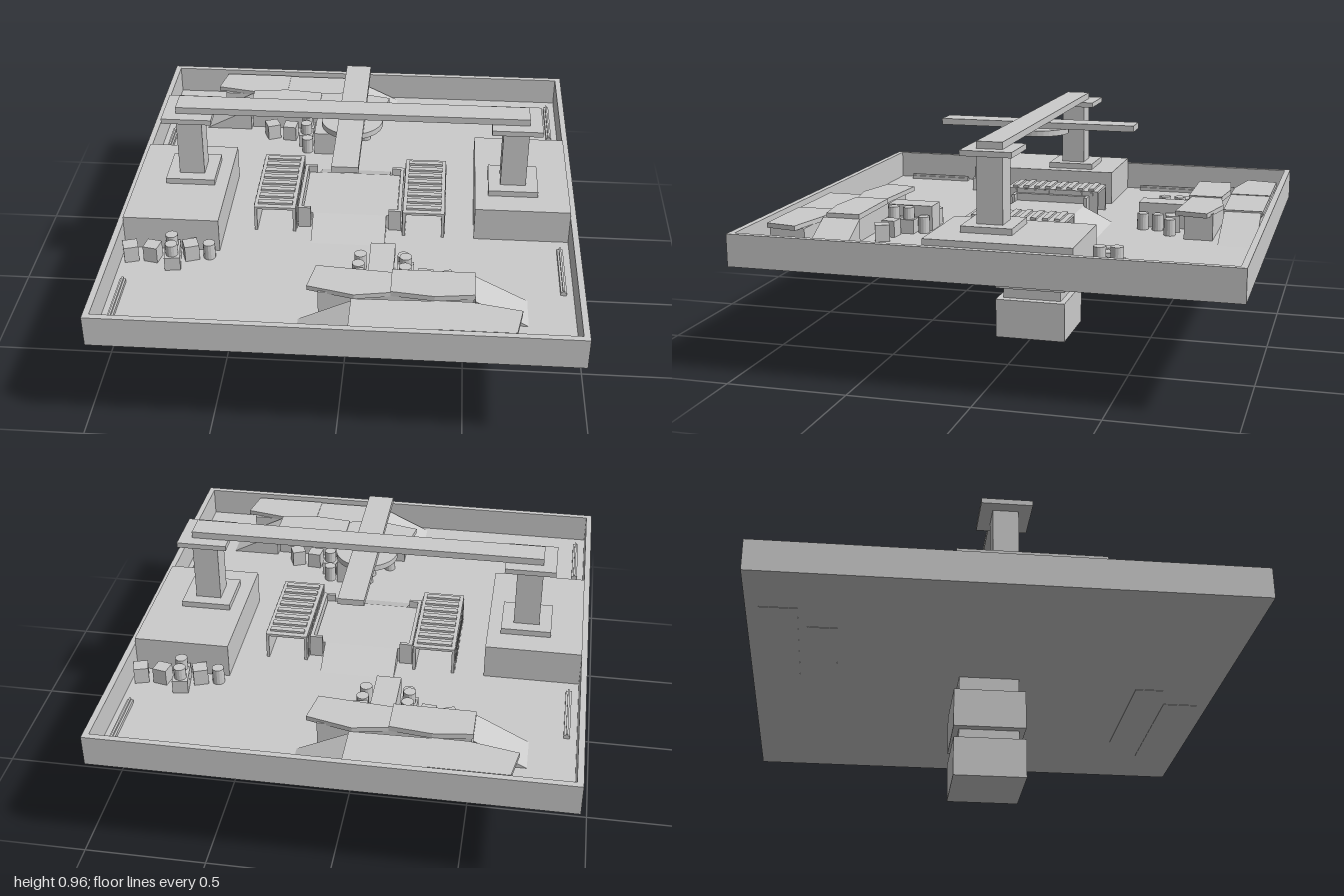
import * as THREE from 'three';

const FLOOR = 0.468;
const grey = new THREE.MeshStandardMaterial({ color: 0xcccccc, flatShading: true, side: THREE.DoubleSide });

function add(parent, name, geometry, x = 0, y = 0, z = 0, turn = 0) {
  const mesh = new THREE.Mesh(geometry, grey);
  mesh.name = name;
  mesh.position.set(x, y, z);
  mesh.rotation.y = turn;
  parent.add(mesh);
  return mesh;
}

// Box given by its limits on each axis
function box(parent, name, [x0, x1], [y0, y1], [z0, z1]) {
  return add(parent, name, new THREE.BoxGeometry(x1 - x0, y1 - y0, z1 - z0),
    (x0 + x1) / 2, (y0 + y1) / 2, (z0 + z1) / 2);
}

// Plate with an [x, z] outline between two heights
function plate(parent, name, outline, y0, y1) {
  const shape = new THREE.Shape(outline.map(([x, z]) => new THREE.Vector2(x, -z)));
  const g = new THREE.ExtrudeGeometry(shape, { depth: y1 - y0, bevelEnabled: false });
  g.rotateX(-Math.PI / 2);
  return add(parent, name, g, 0, y0, 0);
}

// Wedge falling along +x, from its high edge at the origin
function ramp(parent, name, length, height, width, x, z, turn) {
  const shape = new THREE.Shape([new THREE.Vector2(0, 0), new THREE.Vector2(length, 0), new THREE.Vector2(0, height)]);
  const g = new THREE.ExtrudeGeometry(shape, { depth: width, bevelEnabled: false });
  g.translate(0, 0, -width / 2);
  return add(parent, name, g, x, FLOOR, z, turn);
}

function crate(parent, x, z, turn, size = 0.06, h = 0.07, y = FLOOR) {
  add(parent, 'crate', new THREE.BoxGeometry(size, h, size), x, y + h / 2, z, turn);
}

function drum(parent, x, z, y = FLOOR, h = 0.07) {
  add(parent, 'drum', new THREE.CylinderGeometry(0.025, 0.025, h, 14), x, y + h / 2, z);
}

// Two crates side by side, each carrying a drum
function loadedCrates(parent, x, z, turn) {
  const g = new THREE.Group();
  g.name = 'loadedCrates';
  g.position.set(x, 0, z);
  g.rotation.y = turn;
  for (const s of [-1, 1]) {
    crate(g, 0, s * 0.033, 0, 0.064, 0.06);
    drum(g, 0, s * 0.033, FLOOR + 0.06, 0.05);
  }
  parent.add(g);
}

// Ribbed shed, open at both ends
function shed(parent) {
  const g = new THREE.Group();
  g.name = 'shed';
  for (const x of [0.225, 0.388]) box(g, 'shedWall', [x, x + 0.012], [FLOOR, 0.585], [-0.21, 0.21]);
  box(g, 'shedRoof', [0.225, 0.4], [0.574, 0.585], [-0.21, 0.21]);
  for (let i = 0; i < 8; i++) {
    const z = -0.175 + i * 0.05;
    box(g, 'roofRib', [0.24, 0.385], [0.585, 0.594], [z - 0.012, z + 0.012]);
    for (const x of [0.222, 0.4]) box(g, 'wallRib', [x, x + 0.003], [FLOOR, 0.58], [z - 0.012, z + 0.012]);
  }
  parent.add(g);
}

// Two offset raised walkways with ramps at opposite ends
function bunker(parent) {
  const g = new THREE.Group();
  g.name = 'bunker';
  box(g, 'rearBody', [-0.08, 0.52], [0.458, 0.58], [0.645, 0.765]);
  box(g, 'frontBody', [0.06, 0.67], [0.458, 0.56], [0.8, 0.95]);
  plate(g, 'rearDeckLeft', [[-0.1, 0.61], [0.2, 0.635], [0.2, 0.765], [0.06, 0.79], [-0.125, 0.745]], 0.572, 0.592);
  plate(g, 'rearDeckRight', [[0.2, 0.622], [0.525, 0.622], [0.525, 0.765], [0.37, 0.785], [0.2, 0.765]], 0.575, 0.597);
  plate(g, 'frontDeckLeft', [[0.05, 0.792], [0.37, 0.785], [0.37, 0.958], [0.05, 0.958]], 0.555, 0.575);
  plate(g, 'frontDeckRight', [[0.37, 0.785], [0.51, 0.785], [0.705, 0.825], [0.68, 0.958], [0.37, 0.958]], 0.558, 0.578);
  ramp(g, 'rearRamp', 0.21, 0.11, 0.16, 0.525, 0.7, 0);
  ramp(g, 'frontRamp', 0.205, 0.1, 0.155, 0.05, 0.873, Math.PI);
  parent.add(g);
}

// Everything that repeats after half a turn about the centre
function createHalf() {
  const half = new THREE.Group();
  half.name = 'arenaHalf';

  // corner platform and the pillar standing on it
  box(half, 'sidePlatform', [0.525, 0.92], [FLOOR, 0.616], [-0.37, 0.21]);
  box(half, 'pillarBase', [0.58, 0.788], [0.616, 0.641], [-0.103, 0.103]);
  box(half, 'pillar', [0.63, 0.737], [0.641, 0.91], [-0.052, 0.052]);
  box(half, 'pillarCap', [0.58, 0.788], [0.91, 0.932], [-0.103, 0.103]);

  shed(half);
  bunker(half);

  // low bars beside the outer wall
  for (const z of [-0.755, 0.43]) {
    box(half, 'wallBar', [0.868, 0.892], [FLOOR, FLOOR + 0.015], [z - 0.147, z + 0.147]);
    box(half, 'wallBarRidge', [0.876, 0.884], [FLOOR, FLOOR + 0.024], [z - 0.147, z + 0.147]);
  }

  // stores behind the corner platform
  crate(half, 0.88, -0.445, 0.3);
  crate(half, 0.79, -0.44, -0.2);
  loadedCrates(half, 0.705, -0.455, 0.15);
  crate(half, 0.635, -0.42, 0.35);
  drum(half, 0.56, -0.415);

  // stores beside the bunker
  box(half, 'largeCrate', [0.105, 0.205], [FLOOR, 0.575], [0.42, 0.62]);
  drum(half, 0.065, 0.445);
  drum(half, 0.06, 0.51);
  crate(half, 0.06, 0.575, 0.2);
  drum(half, -0.02, 0.575);
  drum(half, 0.24, 0.445);
  loadedCrates(half, 0.25, 0.542, 0);
  crate(half, 0.33, 0.56, -0.1);
  crate(half, 0.415, 0.567, 0.4);

  // ramp up to the central platform, with the side rail
  ramp(half, 'centreRamp', 0.13, 0.065, 0.31, 0, 0.16, -Math.PI / 2);
  box(half, 'sideRail', [0.203, 0.218], [FLOOR, 0.565], [-0.172, 0.172]);
  for (const s of [-1, 1]) {
    const z = s * 0.165;
    box(half, 'railReturn', [0.165, 0.21], [FLOOR, 0.565], [z - 0.007, z + 0.007]);
  }
  return half;
}

export function createModel() {
  const model = new THREE.Group();
  model.name = 'arena';

  // tray with rim
  box(model, 'trayFloor', [-0.945, 0.945], [0.46, FLOOR], [-1, 1]);
  for (const s of [-1, 1]) {
    const x = s * 0.9325, z = s * 0.9875;
    box(model, 'sideRim', [x - 0.0125, x + 0.0125], [0.46, 0.591], [-1, 1]);
    box(model, 'endRim', [-0.92, 0.92], [0.46, 0.591], [z - 0.0125, z + 0.0125]);
  }

  // stepped support post below the tray
  for (const [r, d, y0, y1] of [[0.16, 0.153, 0, 0.17], [0.125, 0.128, 0.17, 0.22],
    [0.16, 0.153, 0.22, 0.388], [0.125, 0.128, 0.388, 0.46]]) {
    box(model, 'supportPost', [-r, r], [y0, y1], [-d, d]);
  }

  // central platform
  box(model, 'centrePlatform', [-0.2, 0.2], [FLOOR, FLOOR + 0.065], [-0.16, 0.16]);

  // overhead crossed beams with the hanging disc
  box(model, 'longBeam', [-0.735, 0.735], [0.932, 0.96], [-0.052, 0.052]);
  box(model, 'crossBeam', [-0.053, 0.053], [0.906, 0.932], [-0.42, 0.42]);
  add(model, 'hangingDisc', new THREE.CylinderGeometry(0.128, 0.128, 0.024, 32), 0, 0.894, 0);

  const front = createHalf();
  const back = createHalf();
  back.rotation.y = Math.PI;
  model.add(front, back);
  return model;
}
